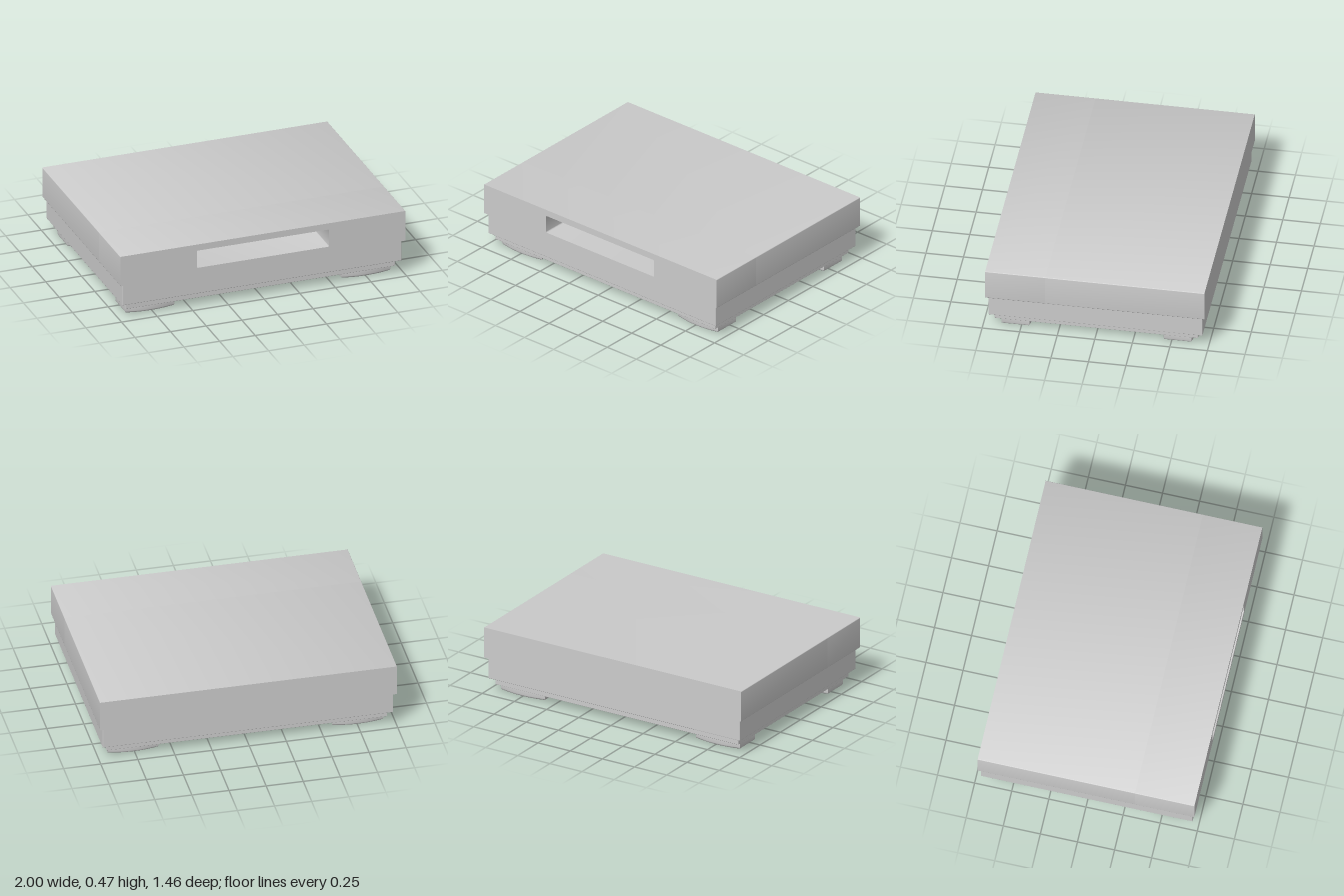
import * as THREE from 'three';
import { RoundedBoxGeometry } from 'three/addons/geometries/RoundedBoxGeometry.js';
import { toCreasedNormals } from 'three/addons/utils/BufferGeometryUtils.js';

const material = new THREE.MeshStandardMaterial({ color: 0xcccccc });

function addMesh(parent, name, geometry, x = 0, y = 0, z = 0) {
  const mesh = new THREE.Mesh(geometry, material);
  mesh.name = name;
  mesh.position.set(x, y, z);
  parent.add(mesh);
  return mesh;
}

// Rectangle with small rounded corners, drawn into a Shape or Path
function roundedRect(path, x0, y0, x1, y1, r) {
  path.moveTo(x0 + r, y0);
  path.lineTo(x1 - r, y0);
  path.quadraticCurveTo(x1, y0, x1, y0 + r);
  path.lineTo(x1, y1 - r);
  path.quadraticCurveTo(x1, y1, x1 - r, y1);
  path.lineTo(x0 + r, y1);
  path.quadraticCurveTo(x0, y1, x0, y1 - r);
  path.lineTo(x0, y0 + r);
  path.quadraticCurveTo(x0, y0, x0 + r, y0);
  return path;
}

// Slice of the upper case, extruded along z, optionally pierced by the front slot
function caseSlice(depth, withSlot) {
  const shape = roundedRect(new THREE.Shape(), -1, 0.25, 1, 0.465, 0.006);
  if (withSlot) shape.holes.push(roundedRect(new THREE.Path(), -0.465, 0.295, 0.462, 0.42, 0.008));
  const geometry = new THREE.ExtrudeGeometry(shape, { depth, bevelEnabled: false, curveSegments: 4 });
  return toCreasedNormals(geometry, 0.6);
}

// Foot: straight ends, gently bowed long sides, rounded rim
function footGeometry() {
  const bevel = 0.014, w = 0.172 - bevel, d = 0.095 - bevel, bow = 0.04;
  const shape = new THREE.Shape();
  shape.moveTo(-w, -d);
  shape.quadraticCurveTo(0, -d - bow, w, -d);
  shape.lineTo(w, d);
  shape.quadraticCurveTo(0, d + bow, -w, d);
  shape.closePath();
  const geometry = new THREE.ExtrudeGeometry(shape, {
    depth: 0.046, bevelThickness: bevel, bevelSize: bevel, bevelSegments: 4, curveSegments: 12,
  });
  geometry.rotateX(-Math.PI / 2).translate(0, bevel, 0);
  return toCreasedNormals(geometry, 0.7);
}

export function createModel() {
  const model = new THREE.Group();
  model.name = 'frontSlotUnit';

  // Upper case: slotted front section and solid rear section
  const halfDepth = 0.73, slotDepth = 0.4;
  const upperCase = new THREE.Group();
  upperCase.name = 'upperCase';
  addMesh(upperCase, 'slottedFront', caseSlice(slotDepth, true), 0, 0, halfDepth - slotDepth);
  addMesh(upperCase, 'solidRear', caseSlice(2 * halfDepth - slotDepth, false), 0, 0, -halfDepth);
  model.add(upperCase);

  // Stepped lower body
  addMesh(model, 'lowerCase', new RoundedBoxGeometry(1.956, 0.153, 1.426, 2, 0.004), 0, 0.1765, 0);
  addMesh(model, 'basePlate', new RoundedBoxGeometry(1.89, 0.055, 1.356, 2, 0.003), 0, 0.0795, 0);

  // Four feet
  const foot = footGeometry();
  for (const sx of [-1, 1]) {
    for (const sz of [-1, 1]) {
      const name = (sz > 0 ? 'front' : 'rear') + (sx > 0 ? 'Left' : 'Right') + 'Foot';
      addMesh(model, name, foot, sx * 0.757, 0, sz * 0.54);
    }
  }
  return model;
}
